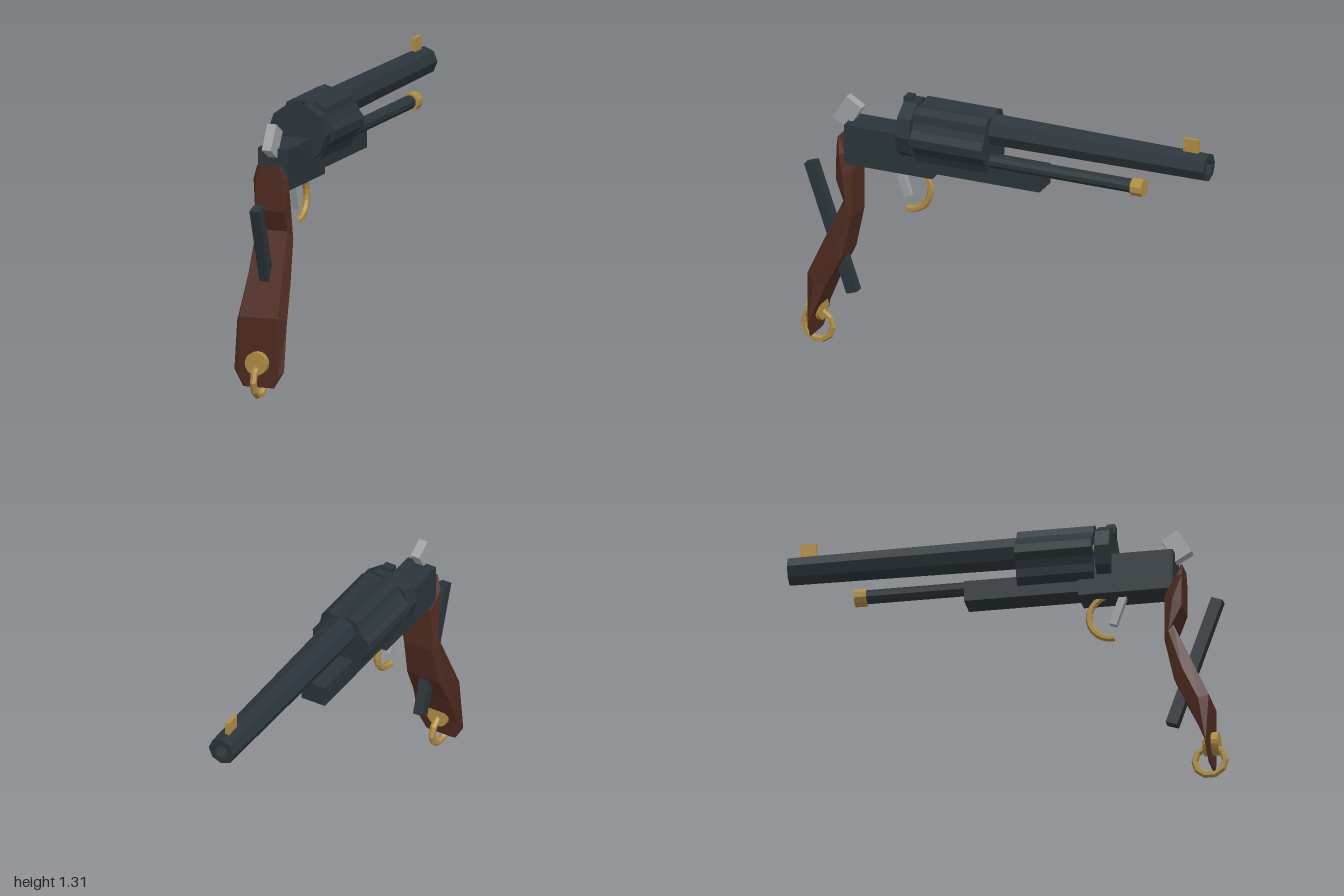
import * as THREE from 'three';

const mat = (name, color) => {
  const m = new THREE.MeshStandardMaterial({ color, flatShading: true });
  m.name = name;
  return m;
};

export function createModel() {
  const steel = mat('gunmetal', 0x2b353b);
  const wood = mat('dark walnut', 0x4e2b21);
  const brass = mat('brass', 0xb08d45);
  const bright = mat('bright steel', 0x9fa2a4);

  const model = new THREE.Group();
  model.name = 'revolver';

  const add = (name, geometry, material, x, y, z, tilt = 0) => {
    const mesh = new THREE.Mesh(geometry, material);
    mesh.name = name;
    mesh.position.set(x, y, z);
    mesh.rotation.x = tilt;
    model.add(mesh);
    return mesh;
  };
  const box = (name, material, w, h, d, x, y, z, tilt) =>
    add(name, new THREE.BoxGeometry(w, h, d), material, x, y, z, tilt);
  // Cylinder lying along z
  const rod = (name, material, r, z0, z1, x, y, sides, turn = 0) =>
    add(name, new THREE.CylinderGeometry(r, r, z1 - z0, sides).rotateY(turn).rotateX(Math.PI / 2),
      material, x, y, (z0 + z1) / 2);

  // Tapered octagonal barrel with an open bore
  const barrelProfile = [[0, -0.1], [0.075, -0.1], [0.065, 1], [0.035, 1], [0.035, 0.7], [0, 0.7]]
    .map(([r, y]) => new THREE.Vector2(r, y));
  add('barrel', new THREE.LatheGeometry(barrelProfile, 8).rotateX(-Math.PI / 2), steel, 0, 1.19, 0);
  box('frontSight', brass, 0.018, 0.08, 0.075, 0, 1.275, -0.913);

  // Six-lobed chamber cylinder
  const axisY = 1.133;
  const lobes = [];
  for (let i = 0; i < 6; i++) {
    for (const [offset, r] of [[-8, 0.149], [8, 0.149], [22, 0.13], [38, 0.13]]) {
      const a = THREE.MathUtils.degToRad(i * 60 - 5 + offset);
      lobes.push(new THREE.Vector2(Math.cos(a) * r, Math.sin(a) * r));
    }
  }
  add('chamberCylinder',
    new THREE.ExtrudeGeometry(new THREE.Shape(lobes), { depth: 0.35, bevelEnabled: false }),
    steel, 0, axisY, 0.05);
  for (let i = 0; i < 6; i++) {
    const a = THREE.MathUtils.degToRad(i * 60 - 5);
    rod('nipple', brass, 0.016, 0.38, 0.42, Math.cos(a) * 0.095, axisY + Math.sin(a) * 0.095, 8);
  }
  rod('cylinderPin', steel, 0.04, 0.38, 0.43, 0, axisY, 8);

  // Frame and recoil plate
  rod('recoilPlate', steel, 0.14, 0.412, 0.478, 0, axisY, 10, Math.PI / 10);
  box('rearSight', steel, 0.052, 0.045, 0.038, 0, 1.262, 0.466);
  box('frame', steel, 0.144, 0.19, 0.432, 0, 1.022, 0.541);
  box('lowerFrame', steel, 0.12, 0.097, 0.56, 0, 0.998, 0.085);

  // Loading lever at the model's left of the barrel
  rod('loadingLever', steel, 0.032, -0.67, 0.035, 0.07, 1.068, 10);
  rod('leverTip', brass, 0.041, -0.715, -0.66, 0.073, 1.068, 10);

  // Hammer, trigger and guard
  box('hammer', bright, 0.044, 0.128, 0.087, 0, 1.154, 0.764, -0.54);
  box('trigger', bright, 0.03, 0.15, 0.035, 0, 0.868, 0.497, 0.33);
  const guard = new THREE.TorusGeometry(0.107, 0.016, 6, 12, Math.PI * 1.03)
    .rotateZ(-Math.PI * 0.53).rotateY(Math.PI / 2);
  add('triggerGuard', guard, brass, 0, 0.84, 0.47);

  // Curved grip: rows of back y, back z, front y, front z, half width
  const rows = [
    [1.045, 0.797, 1.045, 0.79, 0.06],
    [0.99, 0.797, 0.97, 0.757, 0.085],
    [0.84, 0.797, 0.895, 0.72, 0.087],
    [0.745, 0.76, 0.67, 0.72, 0.092],
    [0.56, 0.843, 0.47, 0.765, 0.105],
    [0.377, 0.925, 0.32, 0.84, 0.12],
    [0.11, 0.925, 0.16, 0.905, 0.12],
    [0.06, 0.925, 0.06, 0.918, 0.075],
  ];
  const positions = [];
  const index = [];
  for (const [by, bz, fy, fz, w] of rows) {
    const my = (by + fy) / 2, mz = (bz + fz) / 2, n = w * 0.78;
    positions.push(-n, by, bz, n, by, bz, w, my, mz, n, fy, fz, -n, fy, fz, -w, my, mz);
  }
  for (let r = 0; r < rows.length - 1; r++) {
    for (let i = 0; i < 6; i++) {
      const a = r * 6 + i, b = r * 6 + (i + 1) % 6;
      index.push(a, a + 6, b, b, a + 6, b + 6);
    }
  }
  const last = (rows.length - 1) * 6;
  for (let i = 1; i < 5; i++) {
    index.push(0, i, i + 1, last, last + i + 1, last + i);
  }
  const grip = new THREE.BufferGeometry();
  grip.setAttribute('position', new THREE.Float32BufferAttribute(positions, 3));
  grip.setIndex(index);
  grip.computeVertexNormals();
  add('grip', grip, wood, 0, 0, 0);

  // Steel strap through the grip, and the lanyard fitting
  box('gripStrap', steel, 0.046, 0.632, 0.055, 0, 0.58, 0.845, 0.335);
  rod('lanyardBoss', brass, 0.053, 0.887, 0.957, 0, 0.172, 16);
  add('lanyardRing', new THREE.TorusGeometry(0.07, 0.016, 6, 10).rotateY(Math.PI / 2),
    brass, 0, 0.09, 0.914);

  return model;
}
